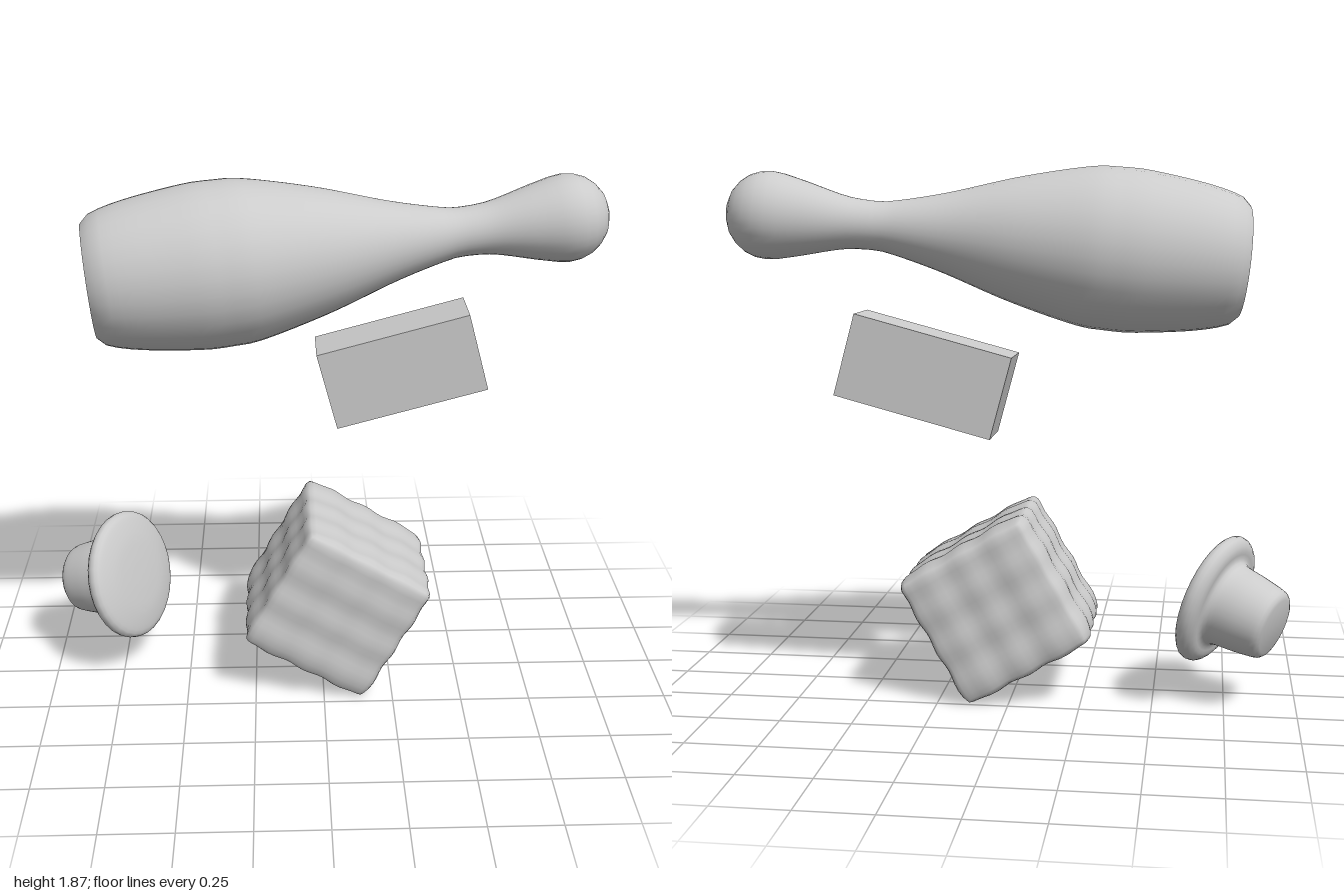
import * as THREE from 'three';
import { mergeVertices, toCreasedNormals } from 'three/addons/utils/BufferGeometryUtils.js';

const material = new THREE.MeshStandardMaterial({ color: 0xcccccc });

function part(name, geometry) {
  const mesh = new THREE.Mesh(geometry, material);
  mesh.name = name;
  return mesh;
}

// Lathe with a flat base: the outline [radius, height] is smoothed by a spline.
function turned(outline, samples, sides) {
  const curve = new THREE.SplineCurve(outline.map(([r, h]) => new THREE.Vector2(r, h)));
  const points = curve.getSpacedPoints(samples);
  points.forEach((p) => { p.x = Math.max(p.x, 0); });
  points[points.length - 1].x = 0;
  points.unshift(new THREE.Vector2(0, outline[0][1]));
  return toCreasedNormals(new THREE.LatheGeometry(points, sides), 0.7);
}

// Stand a turned part at a point with its axis along a direction.
function aim(mesh, position, direction) {
  mesh.position.set(...position);
  mesh.quaternion.setFromUnitVectors(
    new THREE.Vector3(0, 1, 0), new THREE.Vector3(...direction).normalize());
  return mesh;
}

// Rounded cube with gently dimpled faces.
function dimpledCube(width, height, depth, radius) {
  const flat = new THREE.BoxGeometry(width, height, depth, 20, 20, 20);
  flat.deleteAttribute('uv');
  flat.deleteAttribute('normal');
  const geometry = mergeVertices(flat);
  const position = geometry.attributes.position;
  const limit = new THREE.Vector3(width / 2 - radius, height / 2 - radius, depth / 2 - radius);
  const low = limit.clone().negate();
  const p = new THREE.Vector3(), core = new THREE.Vector3(), out = new THREE.Vector3();
  const wave = (v) => Math.cos(v * Math.PI * 2 / 0.14);
  for (let i = 0; i < position.count; i++) {
    p.fromBufferAttribute(position, i);
    core.copy(p).clamp(low, limit);
    out.subVectors(p, core).normalize();
    const bump = 0.0035 * (wave(p.x) + wave(p.y + 0.03) + wave(p.z + 0.02)) - 0.002;
    core.addScaledVector(out, radius + bump);
    position.setXYZ(i, core.x, core.y, core.z);
  }
  geometry.computeVertexNormals();
  return geometry;
}

export function createModel() {
  const model = new THREE.Group();
  model.name = 'looseObjects';

  // Bowling pin lying in the air, head towards +x
  const pin = part('bowlingPin', turned([
    [0.195, 0], [0.218, 0.02], [0.24, 0.08], [0.262, 0.19], [0.283, 0.36], [0.284, 0.45],
    [0.276, 0.56], [0.217, 0.8], [0.137, 1.05], [0.09, 1.24], [0.086, 1.31], [0.094, 1.4],
    [0.134, 1.555], [0.153, 1.657], [0.133, 1.735], [0.076, 1.79], [0, 1.812],
  ], 48, 32));
  model.add(aim(pin, [-0.79, 1.55, 0.04], [1.64, 0.16, -0.175]));

  // Plain block
  const block = part('block', new THREE.BoxGeometry(0.56, 0.29, 0.21));
  block.position.set(0.29, 1.167, -0.175);
  block.rotation.z = THREE.MathUtils.degToRad(15);
  model.add(block);

  // Dimpled cube
  const cube = part('dimpledCube', dimpledCube(0.51, 0.51, 0.52, 0.045));
  cube.position.set(0.047, 0.338, -0.022);
  cube.rotation.z = THREE.MathUtils.degToRad(-30);
  model.add(cube);

  // Stopper: tapered stem with a wide domed cap
  const stopper = part('stopper', turned([
    [0.1, -0.24], [0.118, -0.232], [0.128, -0.21], [0.14, -0.14], [0.15, -0.06],
    [0.168, -0.04], [0.2, -0.038], [0.228, -0.022], [0.236, 0], [0.222, 0.022],
    [0.15, 0.04], [0.07, 0.046], [0, 0.047],
  ], 40, 32));
  model.add(aim(stopper, [-0.715, 0.375, -0.075], [0.85, 0.28, 0.44]));

  return model;
}
